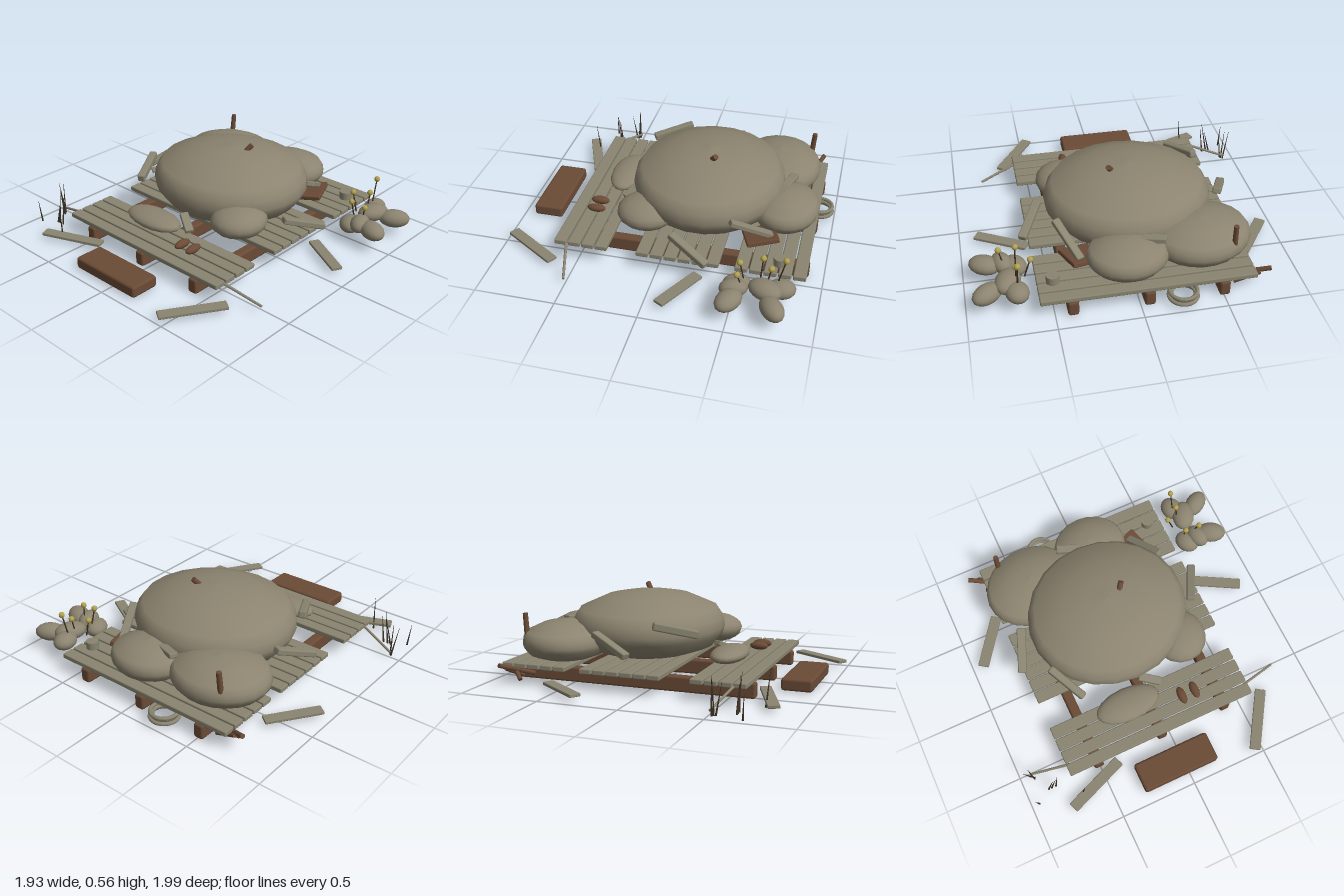
import * as THREE from 'three';
import { RoundedBoxGeometry } from 'three/addons/geometries/RoundedBoxGeometry.js';

const mat = (name, color) => {
  const m = new THREE.MeshStandardMaterial({ color });
  m.name = name;
  return m;
};

export function createModel() {
  const root = new THREE.Group();
  const stone = mat('stone', 0x8c8470);
  const wood = mat('weatheredWood', 0x8a8571);
  const brown = mat('brownWood', 0x6b4b36);
  const yellow = mat('flowerYellow', 0xb3a24e);
  const dark = mat('darkStem', 0x3f3226);
  const V = (p) => new THREE.Vector3(...p);

  function add(name, geo, material, pos, parent = root) {
    const m = new THREE.Mesh(geo, material);
    m.name = name;
    m.position.set(...pos);
    parent.add(m);
    return m;
  }
  const softBox = (w, h, d) => new RoundedBoxGeometry(w, h, d, 1, Math.min(w, h, d) * 0.22);

  // Board running from a to b, wide side up
  function board(name, a, b, w = 0.06, h = 0.02, material = wood) {
    const mid = V(a).add(V(b)).multiplyScalar(0.5);
    const m = add(name, softBox(w, h, V(a).distanceTo(V(b))), material, mid.toArray());
    m.lookAt(V(b));
    return m;
  }
  // Round stick running from a to b
  function stick(name, a, b, r0, r1, material) {
    const d = V(b).sub(V(a));
    const mid = V(a).add(V(b)).multiplyScalar(0.5);
    const m = add(name, new THREE.CylinderGeometry(r1, r0, d.length(), 8), material, mid.toArray());
    m.quaternion.setFromUnitVectors(new THREE.Vector3(0, 1, 0), d.normalize());
    return m;
  }
  function ellipsoid(name, pos, r, material, turn = 0) {
    const m = add(name, new THREE.SphereGeometry(1, 16, 10), material, pos);
    m.scale.set(...r);
    m.rotation.y = turn;
    return m;
  }

  // Pallet: three bearers and slats with gaps where some are missing
  for (const x of [-0.505, -0.055, 0.395]) add('bearer', softBox(0.065, 0.095, 1.56), brown, [x, 0.0475, -0.13]);
  for (let i = 0; i < 18; i++) {
    if ([5, 12, 13].includes(i)) continue;
    add('slat', softBox(1.285, 0.032, 0.077), wood, [-0.058, 0.115, -0.868 + i * 0.0868]);
  }

  // Boulders: flattened domes turned from one profile
  const domeProfile = [[0, -0.72], [0.6, -0.7], [0.86, -0.5], [0.97, -0.2], [1, 0],
    [0.98, 0.26], [0.9, 0.52], [0.56, 0.84], [0.28, 0.95], [0, 1]].map(([x, y]) => new THREE.Vector2(x, y));
  const domeGeo = new THREE.LatheGeometry(domeProfile, 22);
  function boulder(name, pos, r, turn = 0) {
    const m = add(name, domeGeo, stone, pos);
    m.scale.set(...r);
    m.rotation.y = turn;
  }
  boulder('mainBoulder', [-0.06, 0.3, -0.195], [0.522, 0.23, 0.485]);
  boulder('backLeftBoulder', [-0.425, 0.235, -0.6], [0.31, 0.135, 0.27], 0.15);
  boulder('backBoulder', [0.04, 0.23, -0.7], [0.245, 0.115, 0.215]);
  ellipsoid('frontBoulder', [0.3, 0.242, 0.13], [0.175, 0.095, 0.185], stone);
  ellipsoid('flatStone', [-0.185, 0.178, 0.39], [0.215, 0.05, 0.11], stone);

  // Boards leaning on the boulders
  board('leaningBoard', [-0.185, 0.33, -0.73], [0.065, 0.31, -0.64], 0.055, 0.035);
  board('leaningBoard', [0.31, 0.2, -0.66], [0.425, 0.33, -0.42], 0.05, 0.035);
  board('leaningBoard', [0.49, 0.23, -0.07], [0.62, 0.14, -0.32], 0.055, 0.04);
  board('leaningBoard', [-0.61, 0.33, -0.32], [-0.715, 0.23, -0.07], 0.055, 0.04);
  board('leaningBoard', [-0.555, 0.39, 0.03], [-0.43, 0.33, 0.27], 0.05, 0.05);
  board('leaningBoard', [-0.05, 0.21, 0.26], [0.075, 0.155, 0.335], 0.055, 0.03);
  const panel = add('brownPanel', softBox(0.2, 0.03, 0.2), brown, [0.3, 0.175, -0.59]);
  panel.rotation.set(0.12, 0.35, 0.1);

  // Loose boards on the ground
  board('groundBoard', [-0.72, 0.035, -0.58], [-0.93, 0.035, -0.29], 0.07);
  board('groundBoard', [0.59, 0.035, -0.265], [0.895, 0.035, -0.095], 0.07);
  board('groundBoard', [-0.765, 0.035, 0.82], [-0.38, 0.035, 0.67], 0.07);
  board('groundBoard', [0.665, 0.035, 0.635], [0.445, 0.035, 0.975], 0.07);
  add('frontBlock', softBox(0.51, 0.075, 0.19), brown, [-0.055, 0.043, 0.835]);

  // Pegs and sticks
  stick('topPeg', [0.03, 0.49, -0.21], [0.068, 0.55, -0.255], 0.018, 0.018, brown);
  stick('backPeg', [-0.58, 0.24, -0.79], [-0.575, 0.42, -0.805], 0.018, 0.016, brown);
  stick('backStick', [-0.79, 0.13, -0.87], [-0.55, 0.04, -0.77], 0.015, 0.015, brown);
  stick('backStick', [-0.73, 0.1, -0.86], [-0.58, 0.03, -0.83], 0.013, 0.013, brown);
  stick('backStick', [-0.65, 0.12, -0.86], [-0.7, 0.03, -0.78], 0.013, 0.013, brown);
  for (const s of [-1, 1]) {
    const cx = -0.058;
    stick('sidePole', [cx + s * 0.615, 0.115, 0.575], [cx + s * 0.87, 0.03, 0.51], 0.009, 0.008, wood);
  }

  // Two small oval pods on the front slats
  for (const x of [0.155, 0.245]) ellipsoid('pod', [x, 0.165, 0.48], [0.028, 0.026, 0.06], brown);

  // Rope coil and stump
  [[0.085, 0.04], [0.07, 0.058], [0.082, 0.075]].forEach(([r, y]) => {
    const ring = add('coilRing', new THREE.TorusGeometry(r, 0.012, 8, 28), wood, [-0.25, y, -0.9]);
    ring.rotation.x = Math.PI / 2;
  });
  add('stump', new THREE.CylinderGeometry(0.04, 0.04, 0.05, 14), wood, [0.49, 0.155, -0.74]);

  // Bush of rounded clumps with stemmed flowers
  const clumps = [
    [[0.7, 0.12, -0.78], [0.07, 0.055, 0.085], 0.2],
    [[0.87, 0.11, -0.75], [0.1, 0.058, 0.065], 0.6],
    [[0.745, 0.135, -0.69], [0.075, 0.055, 0.105], -0.4],
    [[0.69, 0.1, -0.515], [0.07, 0.055, 0.085], 0.5],
    [[0.765, 0.13, -0.51], [0.06, 0.055, 0.085], 0.3],
    [[0.865, 0.12, -0.5], [0.1, 0.055, 0.07], -0.45],
  ];
  for (const [p, r, t] of clumps) ellipsoid('bushClump', p, r, stone, t);
  const flowers = [[0.69, 0.318, -0.795], [0.695, 0.25, -0.715], [0.605, 0.245, -0.655],
    [0.68, 0.25, -0.53], [0.78, 0.24, -0.53]];
  for (const [x, y, z] of flowers) {
    stick('flowerStem', [x * 0.6 + 0.28, 0.12, z * 0.7 - 0.19], [x, y, z], 0.005, 0.004, dark);
    add('flowerHead', new THREE.SphereGeometry(0.019, 10, 8), yellow, [x, y, z]);
  }

  // Grass blades: base x, base z, top x, top y, top z
  const blades = [[-0.93, 0.52, -0.965, 0.21, 0.53], [-0.92, 0.53, -0.93, 0.22, 0.52],
    [-0.915, 0.54, -0.905, 0.19, 0.57], [-0.95, 0.7, -0.965, 0.15, 0.71], [-0.86, 0.64, -0.82, 0.16, 0.64],
    [-0.84, 0.64, -0.8, 0.225, 0.65], [-0.81, 0.64, -0.785, 0.2, 0.635], [-0.67, 0.75, -0.655, 0.22, 0.77]];
  for (const [bx, bz, tx, ty, tz] of blades) stick('grassBlade', [bx, 0, bz], [tx, ty, tz], 0.006, 0.001, dark);

  return root;
}
